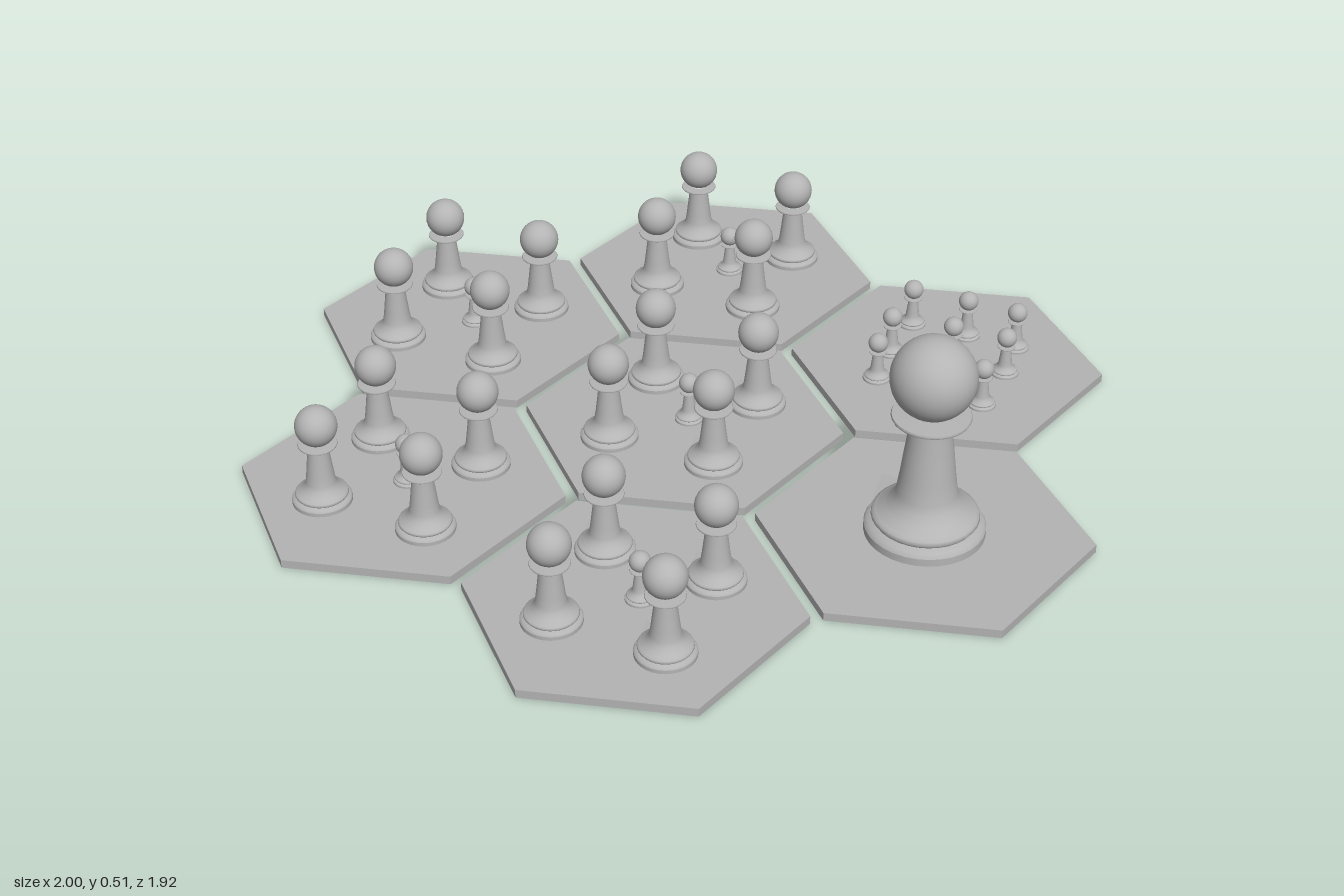
import * as THREE from 'three';

const TILE_TOP = 0.02;
const grey = new THREE.MeshStandardMaterial({ color: 0xb4b4b4 });
grey.name = 'grey stone';

// Turned body of a full-size pawn: [radius, height above the tile];
// each inner list is one smooth section, with a crisp edge between sections
const SECTIONS = [
  [[0.134, 0], [0.134, 0.018]],
  [[0.134, 0.018], [0.128, 0.029], [0.114, 0.034]],
  [[0.114, 0.034], [0.119, 0.041], [0.117, 0.05], [0.108, 0.055]],
  [[0.108, 0.055], [0.09, 0.069], [0.075, 0.087], [0.067, 0.108], [0.061, 0.15], [0.054, 0.21], [0.048, 0.26], [0.046, 0.291]],
  [[0.046, 0.291], [0.075, 0.294], [0.085, 0.297]],
  [[0.085, 0.297], [0.087, 0.301], [0.085, 0.305]],
  [[0.085, 0.305], [0.04, 0.308]],
];
const bodyParts = SECTIONS.map((s) =>
  new THREE.LatheGeometry(s.map(([r, y]) => new THREE.Vector2(r, y)), 32));
const headGeometry = new THREE.SphereGeometry(0.094, 32, 20);

// Low pointer under the base, sloping down to a tip at the back
function pointerGeometry() {
  const shape = new THREE.Shape();
  shape.moveTo(-0.11, 0.07);
  shape.lineTo(0.11, 0.07);
  shape.lineTo(0, 0.22);
  const geo = new THREE.ExtrudeGeometry(shape, { depth: 0.014, bevelEnabled: false });
  geo.rotateX(-Math.PI / 2);
  const p = geo.attributes.position;
  for (let i = 0; i < p.count; i++) {
    if (p.getY(i) > 0.001 && p.getZ(i) < -0.2) p.setY(i, 0.002);
  }
  geo.computeVertexNormals();
  return geo;
}
const pointer = pointerGeometry();

function makePawn(name, x, z, scale) {
  const pawn = new THREE.Group();
  pawn.name = name;
  const add = (geo, part) => {
    const mesh = new THREE.Mesh(geo, grey);
    mesh.name = part;
    pawn.add(mesh);
    return mesh;
  };
  const names = ['foot', 'footRim', 'baseRing', 'stem', 'collarUnderside', 'collarRim', 'collarTop'];
  bodyParts.forEach((g, i) => add(g, names[i]));
  add(headGeometry, 'head').position.y = 0.397;
  add(pointer, 'pointer');
  pawn.position.set(x, TILE_TOP, z);
  pawn.scale.setScalar(scale);
  return pawn;
}

export function createModel() {
  const model = new THREE.Group();
  model.name = 'hexBoard';

  // Six-sided tiles with a corner towards the front
  const tileGeometry = new THREE.CylinderGeometry(0.373, 0.373, TILE_TOP, 6).toNonIndexed();
  tileGeometry.computeVertexNormals();
  const addTile = (x, z) => {
    const tile = new THREE.Mesh(tileGeometry, grey);
    tile.name = 'tile';
    tile.position.set(x, TILE_TOP / 2, z);
    model.add(tile);
  };

  // Tiles holding four medium pawns round one small pawn
  const D = 0.184;
  for (const [x, z] of [[-0.338, -0.585], [0.338, -0.585], [-0.677, 0], [0, 0], [-0.338, 0.585]]) {
    addTile(x, z);
    for (const [dx, dz] of [[D, 0], [-D, 0], [0, D], [0, -D]]) {
      model.add(makePawn('mediumPawn', x + dx, z + dz + 0.004, 0.5));
    }
    model.add(makePawn('smallPawn', x + 0.013, z + 0.003, 0.25));
  }

  // Tile with nine small pawns
  addTile(0.677, 0);
  const spots = [[0.674, -0.182], [0.572, -0.086], [0.775, -0.086], [0.492, 0.005], [0.69, 0.005],
    [0.861, 0.005], [0.583, 0.095], [0.786, 0.095], [0.674, 0.196]];
  for (const [x, z] of spots) model.add(makePawn('smallPawn', x, z, 0.25));

  // Tile with the large pawn
  addTile(0.338, 0.585);
  model.add(makePawn('largePawn', 0.338, 0.585, 1));
  return model;
}
